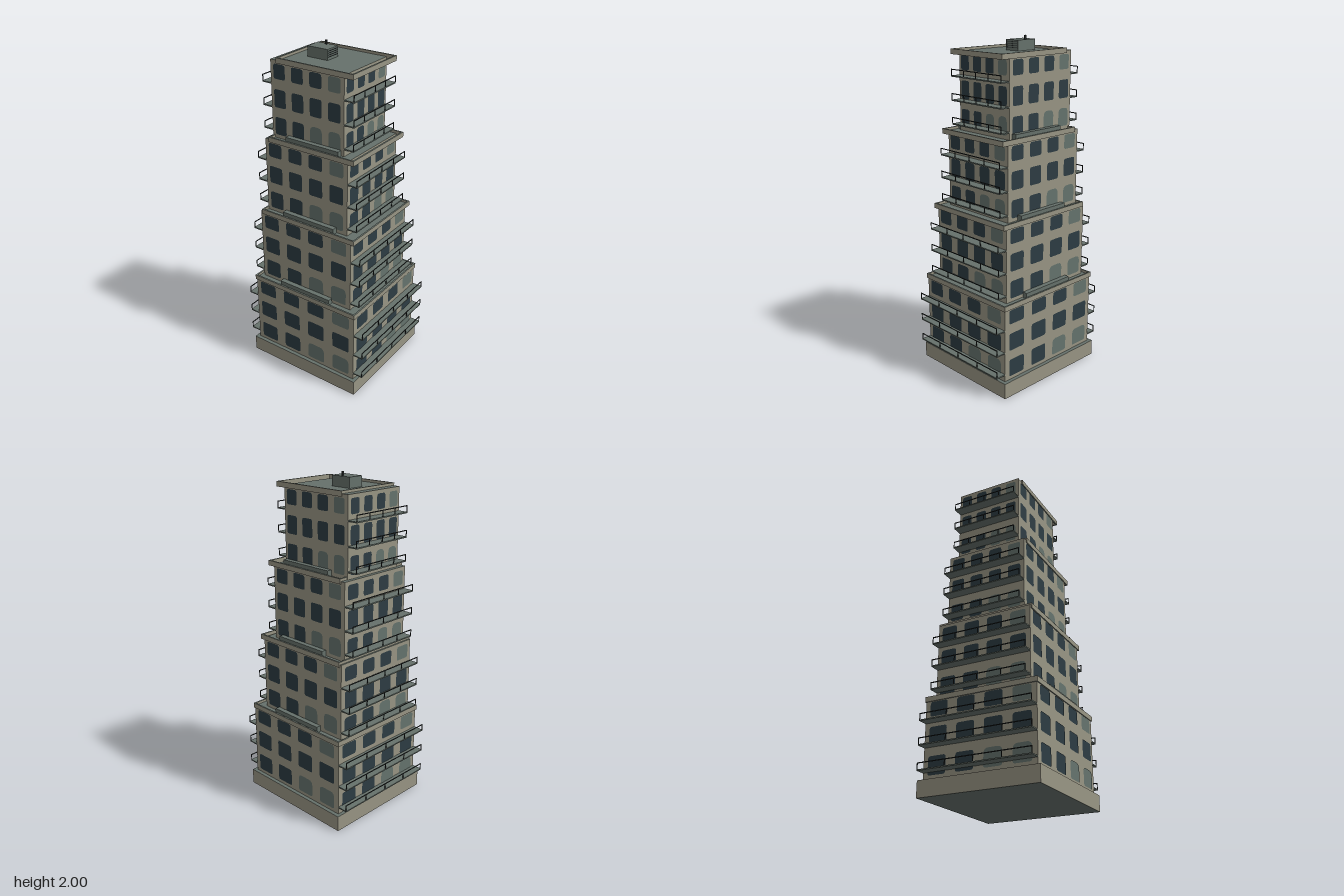
import * as THREE from 'three';

const mat = (name, color) => {
  const m = new THREE.MeshStandardMaterial({ color });
  m.name = name;
  return m;
};

export function createModel() {
  const root = new THREE.Group();
  root.name = 'steppedTower';

  const wall = mat('wallStone', 0x989584);
  const roof = mat('roofGrey', 0x66716b);
  const glass = mat('darkGlass', 0x2d3c43);
  const paleGlass = mat('paleGlass', 0x65736d);
  const metal = mat('darkMetal', 0x2b3030);
  // stone sides, grey top and underside
  const slab = [wall, wall, roof, roof, wall, wall];

  const box = (parent, name, size, pos, material) => {
    const m = new THREE.Mesh(new THREE.BoxGeometry(...size), material);
    m.position.set(...pos);
    m.name = name;
    parent.add(m);
    return m;
  };

  // rectangle outline with rounded corners, centred on the origin
  const roundedRect = (w, h, rBottom, rTop) => {
    const s = new THREE.Shape(), x = w / 2, y = h / 2;
    s.moveTo(-x + rBottom, -y);
    s.lineTo(x - rBottom, -y);
    s.quadraticCurveTo(x, -y, x, -y + rBottom);
    s.lineTo(x, y - rTop);
    s.quadraticCurveTo(x, y, x - rTop, y);
    s.lineTo(-x + rTop, y);
    s.quadraticCurveTo(-x, y, -x, y - rTop);
    s.lineTo(-x, -y + rBottom);
    s.quadraticCurveTo(-x, -y, -x + rBottom, -y);
    return s;
  };

  // window rows: bottom, top, first pale column
  const rows = [
    [0.117, 0.222, 2],
    [0.28, 0.386, 4],
    [0.445, 0.53, 3],
  ];

  // windows of one wall, facing +z in the group's own frame
  const windowWall = (width, distance) => {
    const g = new THREE.Group();
    g.name = 'windowWall';
    const pitch = width / 4;
    rows.forEach(([y0, y1, paleFrom], r) => {
      for (let c = 0; c < 4; c++) {
        const pale = c >= paleFrom;
        const rTop = pale && r === 0 ? 0.03 : 0.016;
        const pane = new THREE.Mesh(
          new THREE.ShapeGeometry(roundedRect(pitch * 0.65, y1 - y0, 0.014, rTop), 4),
          pale ? paleGlass : glass);
        pane.position.set((c - 1.5) * pitch, (y0 + y1) / 2, distance + 0.003);
        pane.name = pale ? 'paleWindow' : 'darkWindow';
        g.add(pane);
      }
    });
    return g;
  };

  // balcony projecting towards +z from the group's origin
  const balcony = (halfWidth) => {
    const g = new THREE.Group();
    g.name = 'balcony';
    const depth = 0.063;
    box(g, 'balconyDeck', [halfWidth * 2, 0.007, depth], [0, 0, depth / 2], roof);
    box(g, 'handrail', [halfWidth * 2, 0.005, 0.004], [0, 0.038, depth - 0.002], metal);
    for (let i = 0; i <= 4; i++) {
      const x = (i / 2 - 1) * (halfWidth - 0.002);
      box(g, 'railPost', [0.004, 0.036, 0.004], [x, 0.02, depth - 0.002], metal);
    }
    return g;
  };

  // open parapet frame
  const parapet = (hx, hz) => {
    const rect = (Path, x, z) => new Path([[-x, -z], [x, -z], [x, z], [-x, z]]
      .map(([a, b]) => new THREE.Vector2(a, b)));
    const s = rect(THREE.Shape, hx, hz);
    s.holes.push(rect(THREE.Path, hx - 0.01, hz - 0.01));
    const geo = new THREE.ExtrudeGeometry(s, { depth: 0.03, bevelEnabled: false });
    geo.rotateX(-Math.PI / 2);
    const m = new THREE.Mesh(geo, [roof, wall]);
    m.name = 'parapet';
    return m;
  };

  box(root, 'plinth', [0.726, 0.095, 0.77], [0, 0.0475, 0], slab);

  // each tier: half width, front z, back z, parapet half depth
  const tiers = [
    [0.34, 0.364, -0.364, 0.37],
    [0.294, 0.306, -0.34, 0.33],
    [0.249, 0.25, -0.32, 0.292],
    [0.204, 0.195, -0.298, 0.255],
  ];
  tiers.forEach(([hx, zf, zb, cap], t) => {
    const tier = new THREE.Group();
    tier.name = 'tier' + (t + 1);
    tier.position.y = t * 0.455;
    root.add(tier);

    const depth = zf - zb, zc = (zf + zb) / 2;
    box(tier, 'tierWalls', [hx * 2, 0.457, depth], [0, 0.3215, zc], slab);

    const edge = parapet(hx + 0.006, cap);
    edge.position.y = 0.535;
    tier.add(edge);

    // four window walls, turned around the tier centre
    for (let k = 0; k < 4; k++) {
      const side = k % 2 === 1;
      const w = windowWall(side ? depth : hx * 2, side ? hx : depth / 2);
      w.rotation.y = k * Math.PI / 2;
      w.position.z = zc;
      tier.add(w);
    }

    // balconies front and back on three floors
    for (let f = 0; f < 3; f++) {
      for (const front of [true, false]) {
        const b = balcony(hx);
        b.position.set(0, 0.138 + f * 0.1375, front ? zf : zb);
        if (!front) b.rotation.y = Math.PI;
        tier.add(b);
      }
    }

    // low planters on the side terraces
    if (t < 3) {
      for (const s of [-1, 1]) {
        box(tier, 'terracePlanter', [0.03, 0.037, 0.36], [s * (hx - 0.025), 0.567, 0], roof);
      }
    }
  });

  // rooftop plant room with louvres and mast
  box(root, 'plantRoom', [0.098, 0.063, 0.136], [0, 1.944, -0.092], roof);
  for (let i = 0; i < 4; i++) {
    box(root, 'louvre', [0.09, 0.003, 0.004], [0, 1.932 + i * 0.011, -0.023], metal);
  }
  box(root, 'mast', [0.009, 0.03, 0.011], [0.035, 1.985, -0.093], metal);

  return root;
}
